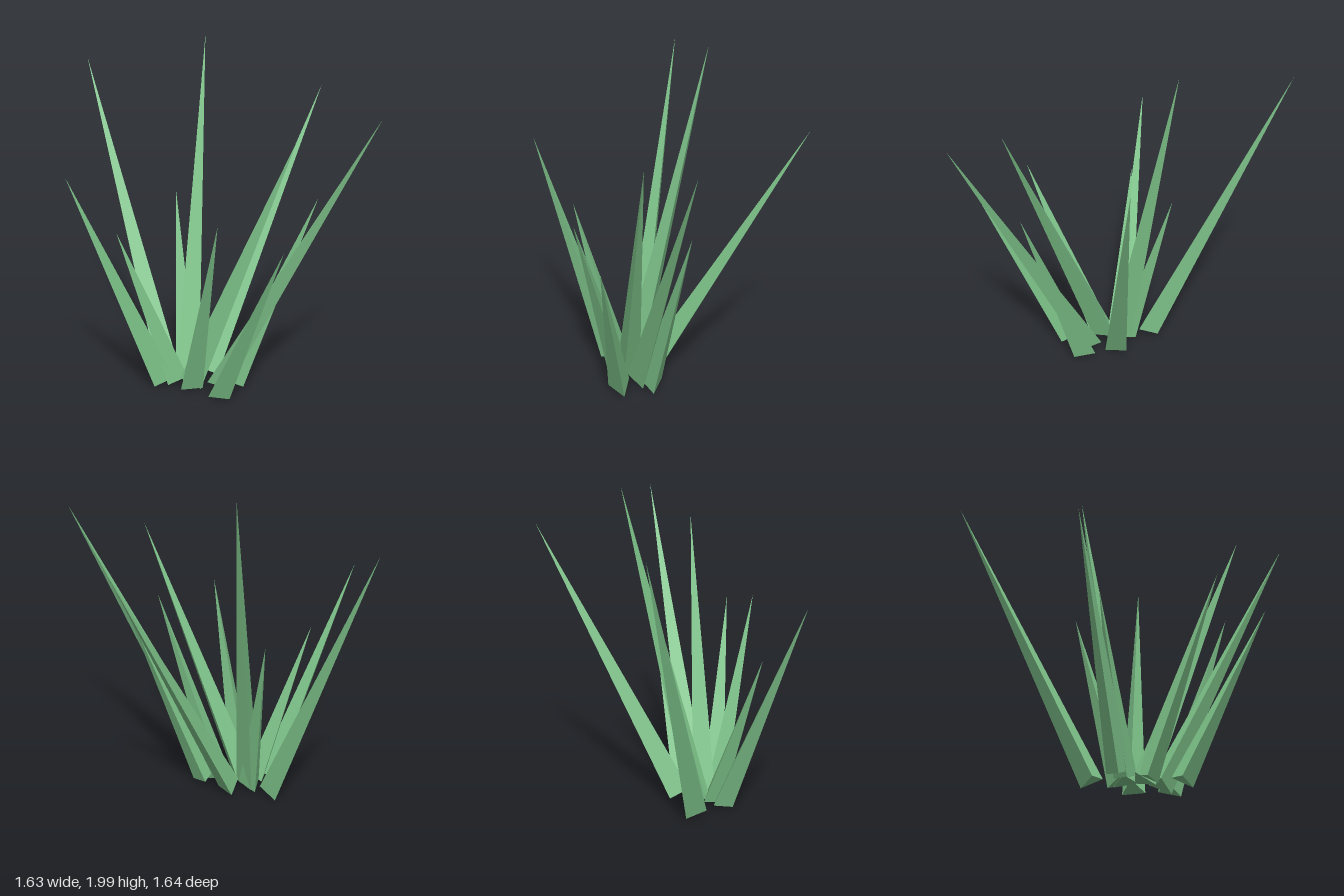
import * as THREE from 'three';

// Each blade: tip x,y,z | base centre x,z | base radius | heading of one base corner (degrees)
const BLADES = [
  [-0.51, 1.78, -0.82, -0.215, -0.06, 0.076, 180],
  [0.10, 1.99, -0.32, -0.12, 0.09, 0.08, 172],
  [0.81, 1.66, -0.28, 0.01, 0.073, 0.075, 168],
  [-0.82, 1.36, 0.17, -0.275, 0.13, 0.073, 177],
  [-0.54, 1.00, 0.15, -0.195, 0.135, 0.073, 180],
  [-0.10, 1.08, -0.24, -0.125, 0.06, 0.075, 180],
  [0.55, 1.21, 0.44, 0.12, 0.24, 0.078, 168],
  [0.79, 1.73, 0.73, 0.025, 0.235, 0.078, 175],
  [0.36, 1.61, 0.61, -0.107, 0.187, 0.08, 145],
  [0.23, 1.06, 0.82, -0.005, 0.38, 0.075, 175],
  [-0.09, 1.18, 0.66, -0.133, 0.23, 0.077, 180],
];

const UP = new THREE.Vector3(0, 1, 0);

// Slender three-sided spike standing on its base and leaning to its tip
function makeBlade([tx, ty, tz, bx, bz, radius, heading], material) {
  const base = new THREE.Vector3(bx, 0.036, bz);
  const axis = new THREE.Vector3(tx, ty, tz).sub(base);
  const height = axis.length();
  const geometry = new THREE.ConeGeometry(radius, height, 3);
  geometry.rotateY(THREE.MathUtils.degToRad(heading));
  geometry.translate(0, height / 2, 0);
  const blade = new THREE.Mesh(geometry, material);
  blade.quaternion.setFromUnitVectors(UP, axis.normalize());
  blade.position.copy(base);
  return blade;
}

export function createModel() {
  const group = new THREE.Group();
  group.name = 'grassTuft';
  const green = new THREE.MeshStandardMaterial({ color: 0x7fc58b, flatShading: true });
  green.name = 'grass green';

  BLADES.forEach((spec, i) => {
    const blade = makeBlade(spec, green);
    blade.name = `grassBlade${i + 1}`;
    group.add(blade);
  });
  return group;
}
